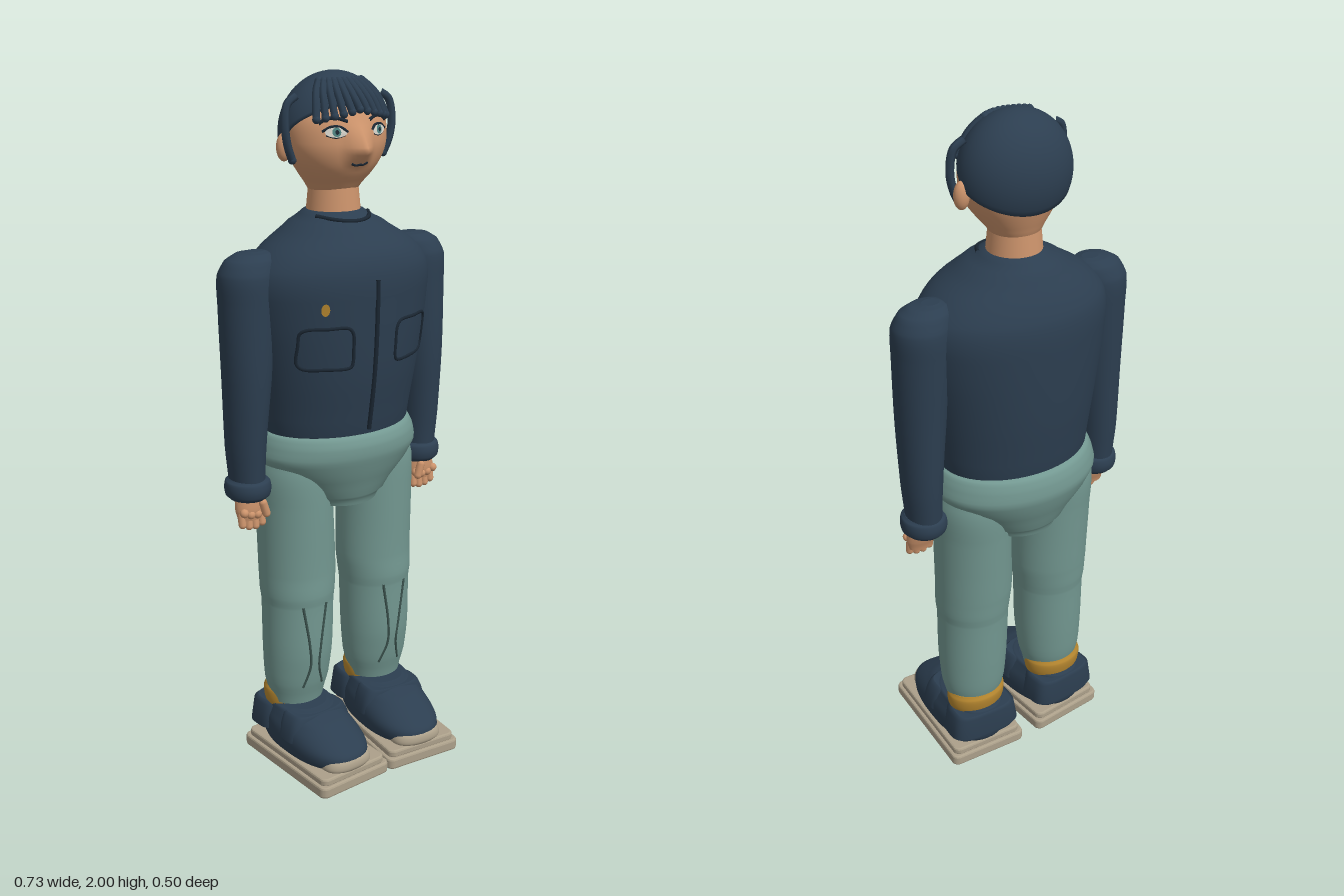
import * as THREE from 'three';

const mat = (name, color) => Object.assign(new THREE.MeshStandardMaterial({ color }), { name });

// Rings are [y, centreX, radiusX, frontZ, backZ]; refine them along a smooth curve.
function refine(rings, steps = 4) {
  const out = [];
  for (let i = 0; i < rings.length - 1; i++) {
    const [a, b, c, d] = [-1, 0, 1, 2].map(k => rings[Math.min(Math.max(i + k, 0), rings.length - 1)]);
    for (let s = 0; s < steps; s++) {
      const t = s / steps;
      out.push(b.map((v, k) => k === 0 ? v + (c[0] - v) * t : v + 0.5 * t * (c[k] - a[k] +
        t * (2 * a[k] - 5 * v + 4 * c[k] - d[k] + t * (3 * (v - c[k]) + d[k] - a[k])))));
    }
  }
  out.push(rings[rings.length - 1]);
  return out;
}

// Closed body through stacked superelliptic rings, listed from bottom to top.
function loft(rings, { p = 2, n = 48, bump = null } = {}) {
  const pos = [], idx = [];
  const pw = v => Math.sign(v) * Math.abs(v) ** (2 / p);
  const addRing = ([y, cx, rx, zf, zb]) => {
    for (let j = 0; j < n; j++) {
      const a = j / n * Math.PI * 2;
      const x = cx + rx * pw(Math.sin(a));
      let z = (zf + zb) / 2 + (zf - zb) / 2 * pw(Math.cos(a));
      if (bump && Math.cos(a) > 0) z += bump(x, y);
      pos.push(x, y, z);
    }
  };
  rings.forEach(addRing);
  for (let i = 0; i < rings.length - 1; i++) for (let j = 0; j < n; j++) {
    const a = i * n + j, b = i * n + (j + 1) % n;
    idx.push(a, b, a + n, b, b + n, a + n);
  }
  [[rings[0], 1], [rings[rings.length - 1], 0]].forEach(([r, down]) => {
    const s = pos.length / 3;
    addRing(r);
    pos.push(r[1], r[0], (r[3] + r[4]) / 2);
    for (let j = 0; j < n; j++) {
      const k = (j + 1) % n;
      idx.push(s + n, s + (down ? k : j), s + (down ? j : k));
    }
  });
  const g = new THREE.BufferGeometry();
  g.setAttribute('position', new THREE.Float32BufferAttribute(pos, 3));
  g.setIndex(idx);
  g.computeVertexNormals();
  return g;
}

// Front surface height of a loft, used to lay details on it.
function frontZ(rings, x, y, bump) {
  let i = 0;
  while (i < rings.length - 2 && rings[i + 1][0] < y) i++;
  const t = (y - rings[i][0]) / (rings[i + 1][0] - rings[i][0]);
  const [, cx, rx, f, b] = rings[i].map((v, k) => v + (rings[i + 1][k] - v) * t);
  const u = Math.min(1, Math.abs((x - cx) / rx));
  return (f + b) / 2 + (f - b) / 2 * Math.sqrt(1 - u * u) + (bump ? bump(x, y) : 0);
}

const tube = (pts, r, closed = false) => new THREE.TubeGeometry(
  new THREE.CatmullRomCurve3(pts, closed, 'centripetal'), pts.length * 6, r, 6, closed);

export function createModel() {
  const navy = mat('navy cloth', 0x2c3e50), dark = mat('dark seam', 0x1b2733);
  const teal = mat('teal trousers', 0x739891), skin = mat('skin', 0xcd946c);
  const beige = mat('beige base', 0xaca08a), gold = mat('gold', 0xb5862f);
  const white = mat('eye white', 0xd9d6cc), iris = mat('teal iris', 0x4f8583);
  const seamTeal = mat('trouser seam', 0x3d5550);
  const model = new THREE.Group();
  const add = (name, g, m, parent = model) => {
    const mesh = new THREE.Mesh(g, m);
    mesh.name = name;
    parent.add(mesh);
    return mesh;
  };
  // Thin line or flat patch following a front surface
  const line = (name, rings, pts, r, m, { bump, closed } = {}) => add(name, tube(pts.map(([x, y]) =>
    new THREE.Vector3(x, y, frontZ(rings, x, y, bump))), r, closed), m);
  const patch = (name, rings, cx, cy, rx, ry, lift, m, bump) => {
    const g = new THREE.CircleGeometry(1, 20), P = g.attributes.position;
    for (let i = 0; i < P.count; i++) {
      const x = cx + P.getX(i) * rx, y = cy + P.getY(i) * ry;
      P.setXYZ(i, x, y, frontZ(rings, x, y, bump) + lift);
    }
    g.computeVertexNormals();
    add(name, g, m);
  };

  // Jacket body
  const torso = refine([[1.0, 0, .21, .1, -.21], [1.03, 0, .225, .113, -.223], [1.2, 0, .25, .14, -.24],
    [1.4, 0, .28, .153, -.247], [1.48, 0, .275, .153, -.242], [1.54, 0, .225, .132, -.217],
    [1.6, 0, .135, .075, -.178], [1.63, 0, .085, .025, -.145], [1.64, 0, .06, 0, -.12]]);
  add('jacket', loft(torso, { n: 64 }), navy);
  line('zipper', torso, [1.04, 1.15, 1.25, 1.36, 1.47].map(y => [0, y]), .007, dark);
  line('collarSeam', torso, [-.085, -.06, -.03, 0, .03, .06, .085].map(x => [x, 1.612 + x * x * 1.5]), .006, dark);
  patch('badge', torso, -.15, 1.4, .011, .017, .004, gold);
  for (const s of [-1, 1]) {
    const pocket = [[.075, 1.235], [.14, 1.232], [.195, 1.235], [.207, 1.25], [.207, 1.3], [.205, 1.335],
      [.192, 1.345], [.14, 1.347], [.085, 1.345], [.073, 1.33], [.07, 1.28], [.07, 1.25]];
    line('pocketEdge', torso, pocket.map(([x, y]) => [s * x, y]), .005, dark, { closed: true });
  }

  // Hips
  add('hips', loft(refine([[.8, 0, .12, .07, -.19], [.83, 0, .15, .085, -.205], [.94, 0, .245, .125, -.245],
    [.99, 0, .245, .132, -.245], [1.02, 0, .232, .122, -.235], [1.03, 0, .215, .105, -.22]]), { n: 64 }), teal);

  for (const s of [-1, 1]) {
    const side = rings => refine(rings.map(([y, x, ...r]) => [y, s * x, ...r]));

    // Leg with two trouser seams
    const leg = side([[.18, .143, .082, .018, -.13], [.25, .142, .098, .035, -.143], [.35, .14, .105, .05, -.15],
      [.5, .138, .107, .054, -.155], [.535, .138, .111, .058, -.16], [.6, .136, .114, .056, -.165],
      [.8, .141, .11, .06, -.175], [.9, .145, .104, .06, -.18], [.98, .135, .09, .05, -.17]]);
    add('leg', loft(leg), teal);
    line('innerSeam', leg, [[.105, .24], [.125, .31], [.122, .38], [.103, .51]].map(([x, y]) => [s * x, y]), .004, seamTeal);
    line('outerSeam', leg, [[.172, .24], [.155, .31], [.16, .38], [.18, .51]].map(([x, y]) => [s * x, y]), .004, seamTeal);
    add('sock', loft(side([[.15, .145, .083, 0, -.135], [.18, .145, .091, 0, -.142], [.21, .145, .092, 0, -.145],
      [.225, .145, .085, -.01, -.138]])), gold);

    // Sleeve and rolled cuff
    add('sleeve', loft(side([[.87, .297, .048, .003, -.112], [1.0, .3, .055, .012, -.12], [1.2, .294, .067, .026, -.125],
      [1.4, .285, .08, .027, -.132], [1.48, .283, .082, .025, -.132], [1.52, .272, .073, .008, -.115],
      [1.538, .263, .052, -.012, -.095], [1.543, .255, .025, -.035, -.075]])), navy);
    add('cuff', loft(side([[.85, .297, .052, .003, -.108], [.86, .297, .062, .013, -.118], [.88, .297, .065, .017, -.122],
      [.9, .297, .062, .013, -.118], [.908, .297, .052, .003, -.108]])), navy);

    // Hand: palm, four fingers and thumb
    const hand = new THREE.Group();
    hand.name = 'hand';
    model.add(hand);
    add('palm', loft(side([[.79, .3, .038, -.015, -.06], [.82, .3, .044, -.008, -.07], [.87, .298, .04, -.01, -.085]]),
      { n: 24 }), skin, hand);
    for (let i = 0; i < 4; i++) {
      const x = s * (.268 + i * .021), drop = [.006, 0, .002, .01][i];
      const finger = add('finger', new THREE.CapsuleGeometry(.0115, .03, 4, 10), skin, hand);
      finger.position.set(x, .783 + drop, -.03);
      finger.rotation.x = -.15;
      add('knuckle', new THREE.SphereGeometry(.013, 10, 8), skin, hand).position.set(x, .807 + drop, -.016);
    }
    const thumb = add('thumb', new THREE.CapsuleGeometry(.012, .035, 4, 10), skin, hand);
    thumb.position.set(s * .272, .825, -.004);
    thumb.rotation.z = s * -.3;

    // Foot on a two-step base, slightly toed in
    const foot = new THREE.Group();
    foot.name = 'foot';
    foot.position.set(s * .137, 0, .04);
    foot.rotation.y = -s * .07;
    model.add(foot);
    for (const [w, l, y, h] of [[.236, .39, 0, .022], [.216, .37, .03, .012]]) {
      const r = .015, a = w / 2 - r, b = l / 2 - r, shape = new THREE.Shape();
      [[a, b, 0], [-a, b, 1], [-a, -b, 2], [a, -b, 3]].forEach(([x, z, q]) =>
        shape.absarc(x, z, r, q * Math.PI / 2, (q + 1) * Math.PI / 2));
      const g = new THREE.ExtrudeGeometry(shape, { depth: h, bevelSize: .006, bevelThickness: .006, bevelSegments: 2, curveSegments: 5 });
      g.rotateX(-Math.PI / 2).translate(0, y + .006, 0);
      add('basePlate', g, beige, foot);
    }
    add('shoe', loft(refine([[.046, 0, .1, .172, -.185], [.065, 0, .108, .188, -.195], [.095, 0, .11, .185, -.198],
      [.125, 0, .105, .14, -.197], [.155, 0, .092, .085, -.195], [.172, 0, .084, .035, -.19], [.176, 0, .07, .01, -.175]]),
    { p: 2.4 }), navy, foot);
    add('toeCap', loft(refine([[.046, 0, .074, .188, .08], [.06, 0, .08, .196, .08], [.08, 0, .072, .193, .08],
      [.092, 0, .05, .18, .08]]), { p: 2.5 }), beige, foot);
    add('heelCounter', loft([[.08, 0, .1, -.09, -.202], [.09, 0, .114, -.08, -.204], [.16, 0, .102, -.08, -.202],
      [.168, 0, .09, -.09, -.195]], { p: 3.5 }), navy, foot);
    add('strap', loft([[.09, 0, .109, .05, -.06], [.1, 0, .114, .055, -.06], [.14, 0, .104, .05, -.06],
      [.166, 0, .092, .045, -.06], [.172, 0, .082, .04, -.06]], { p: 3.5 }), navy, foot);

    // Ear and side lock
    const ear = add('ear', new THREE.SphereGeometry(1, 16, 12), skin);
    ear.scale.set(.022, .038, .019);
    ear.position.set(s * .158, 1.808, -.058);
    const lock = [[.135, 1.94, -.035], [.163, 1.92, -.032], [.172, 1.86, -.028], [.163, 1.81, -.03], [.148, 1.775, -.034]];
    add('sideLock', tube(lock.map(([x, y, z]) => new THREE.Vector3(s * x, y, z)), .011), navy);
    const tip = add('sideLockTip', new THREE.SphereGeometry(.0115, 10, 8), navy);
    tip.position.set(s * .148, 1.775, -.034);
  }

  // Neck and head with a ridge nose
  add('neck', new THREE.CylinderGeometry(.068, .078, .1, 32), skin).position.set(0, 1.655, -.06);
  const nose = (x, y) => .04 * Math.max(0, 1 - Math.abs(x) / .05) *
    Math.max(0, y > 1.8 ? 1 - (y - 1.8) / .075 : 1 - (1.8 - y) / .045);
  const head = refine([[1.675, 0, .06, -.005, -.12], [1.69, 0, .072, .006, -.13], [1.74, 0, .11, .045, -.148],
    [1.78, 0, .135, .064, -.16], [1.82, 0, .147, .07, -.17], [1.88, 0, .147, .06, -.172], [1.93, 0, .118, .03, -.15],
    [1.97, 0, .06, -.01, -.1]]);
  add('head', loft(head, { n: 96, bump: nose }), skin);
  for (const s of [-1, 1]) {
    patch('eyeWhite', head, s * .068, 1.85, .027, .013, .003, white, nose);
    patch('iris', head, s * .068, 1.851, .011, .012, .005, iris, nose);
    patch('pupil', head, s * .068, 1.851, .005, .006, .007, dark, nose);
    const arc = pts => pts.map(([x, y]) => [s * x, y]);
    line('eyelid', head, arc([[.038, 1.85], [.055, 1.863], [.078, 1.864], [.1, 1.852]]), .004, dark, { bump: nose });
    line('lowerLid', head, arc([[.045, 1.842], [.068, 1.836], [.092, 1.842]]), .002, dark, { bump: nose });
    line('eyebrow', head, arc([[.034, 1.876], [.06, 1.885], [.085, 1.884], [.105, 1.872]]), .005, dark, { bump: nose });
  }
  line('mouth', head, [[-.026, 1.768], [-.01, 1.762], [0, 1.764], [.01, 1.762], [.026, 1.768]], .004, dark, { bump: nose });

  // Hair cap: an ellipsoid cut by a hairline that is high in front and low behind
  const cols = 64, rows = 20, pos = [], idx = [];
  const dome = (a, y) => {
    const k = Math.sqrt(Math.max(0, 1 - ((y - 1.84) / .16) ** 2));
    return new THREE.Vector3(.159 * k * Math.sin(a), y, -.06 + .124 * k * Math.cos(a));
  };
  for (let i = 0; i <= rows + 1; i++) for (let j = 0; j < cols; j++) {
    const a = j / cols * Math.PI * 2, c = Math.cos(a);
    const edge = c > 0 ? 1.825 + .095 * c ** .7 : 1.825 + .068 * c;
    const bottom = Math.acos((edge - 1.84) / .16), t = Math.min(i, rows) / rows;
    const v = dome(a, 1.84 + .16 * Math.cos(bottom * t));
    if (i > rows) v.set(v.x * .85, v.y, -.06 + (v.z + .06) * .85);
    pos.push(v.x, v.y, v.z);
  }
  for (let i = 0; i <= rows; i++) for (let j = 0; j < cols; j++) {
    const a = i * cols + j, b = i * cols + (j + 1) % cols;
    idx.push(a, a + cols, b, b, a + cols, b + cols);
  }
  const cap = new THREE.BufferGeometry();
  cap.setAttribute('position', new THREE.Float32BufferAttribute(pos, 3));
  cap.setIndex(idx);
  cap.computeVertexNormals();
  add('hair', cap, navy);

  // Fringe locks swept over the forehead
  for (let i = 0; i < 11; i++) {
    const a = (i - 5) * .17, low = 1.905 - .03 * Math.abs(Math.sin(a));
    const pts = [1.975, 1.955, 1.93, low].map((y, k) => dome(a - .12 + k * .06, y));
    add('fringeLock', tube(pts, .011), navy);
    add('fringeTip', new THREE.SphereGeometry(.0112, 10, 8), navy).position.copy(pts[3]);
    add('fringeRoot', new THREE.SphereGeometry(.0112, 10, 8), navy).position.copy(pts[0]);
  }
  return model;
}
